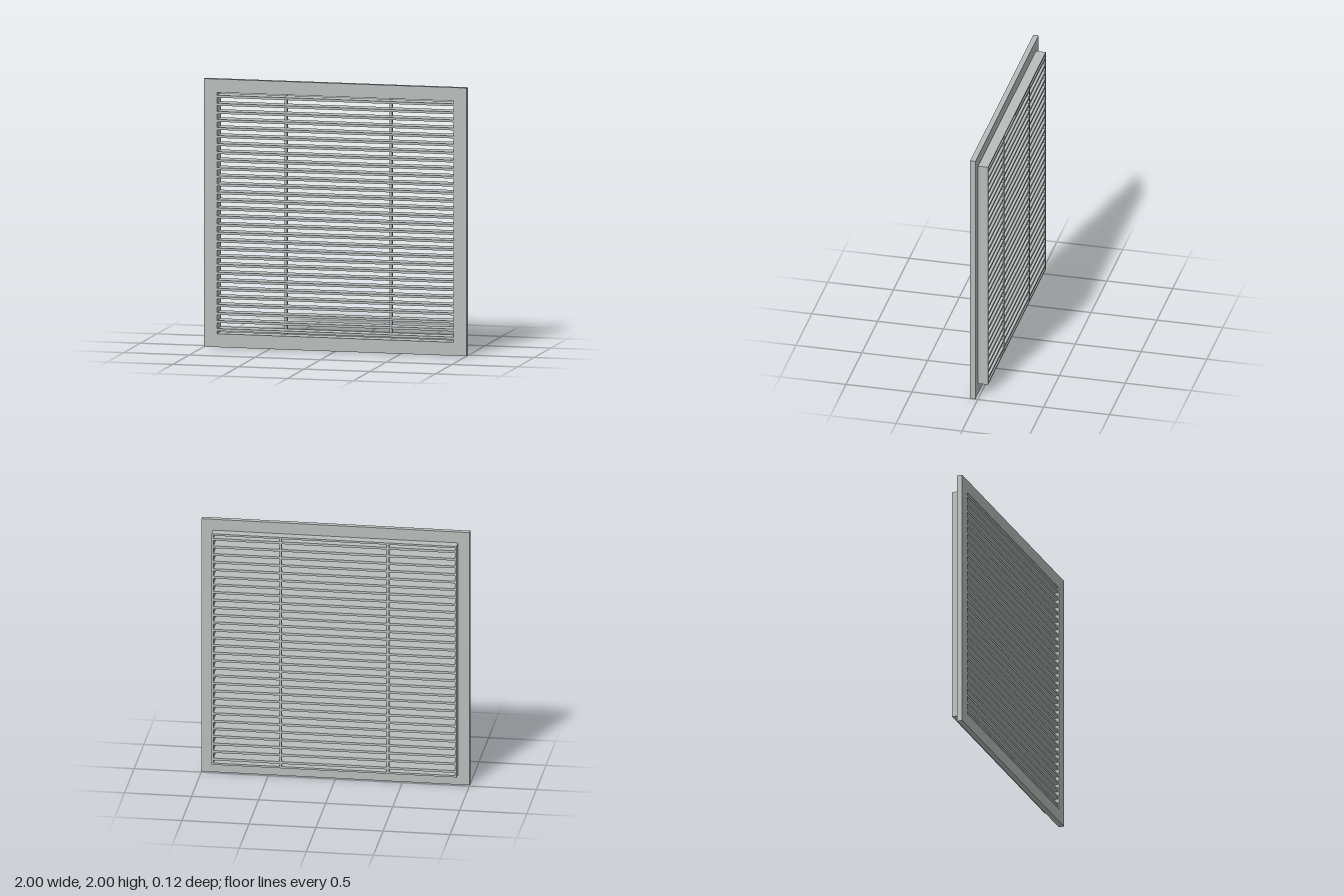
import * as THREE from 'three';

const FRONT = 0.0575, BACK = -0.0575, FLANGE_BACK = 0.0175;
const OPEN = 0.9; // half size of the opening
const SLATS = 30, PITCH = 0.06, THICK = 0.018;

// square ring extruded from z0 to z1, centred on y = 1
function squareRing(outer, inner, z0, z1) {
  const square = (Type, h) => new Type([[-h, -h], [h, -h], [h, h], [-h, h]].map(([x, y]) => new THREE.Vector2(x, y)));
  const shape = square(THREE.Shape, outer);
  shape.holes.push(square(THREE.Path, inner));
  const geometry = new THREE.ExtrudeGeometry(shape, { depth: z1 - z0, bevelEnabled: false });
  return geometry.translate(0, 1, z0);
}

export function createModel() {
  const group = new THREE.Group();
  group.name = 'ventGrille';
  const metal = new THREE.MeshStandardMaterial({ color: 0xb9bdbb });
  metal.name = 'paintedGrey';

  const add = (name, geometry, x = 0, y = 0, z = 0) => {
    const mesh = new THREE.Mesh(geometry, metal);
    mesh.name = name;
    mesh.position.set(x, y, z);
    group.add(mesh);
  };

  // wide front flange and the thin-walled sleeve behind it
  add('frontFlange', squareRing(1, OPEN, FLANGE_BACK, FRONT));
  add('rearSleeve', squareRing(0.914, OPEN, BACK, FLANGE_BACK));

  // horizontal slats through the full depth
  const slat = new THREE.BoxGeometry(2 * OPEN, THICK, FRONT - BACK);
  for (let i = 0; i < SLATS; i++) {
    add('slat' + (i + 1), slat, 0, 1 + (i - (SLATS - 1) / 2) * PITCH, 0);
  }

  // two upright ribs at the back, set in pieces between the slats
  const ribDepth = 0.025;
  for (const side of [-1, 1]) {
    for (let i = 0; i <= SLATS; i++) {
      const low = i === 0 ? 1 - OPEN : 1 + (i - 1 - (SLATS - 1) / 2) * PITCH + THICK / 2;
      const high = i === SLATS ? 1 + OPEN : 1 + (i - (SLATS - 1) / 2) * PITCH - THICK / 2;
      const piece = new THREE.BoxGeometry(THICK, high - low, ribDepth);
      add(side > 0 ? 'leftRib' : 'rightRib', piece, side * 0.4, (low + high) / 2, BACK + ribDepth / 2);
    }
  }
  return group;
}
